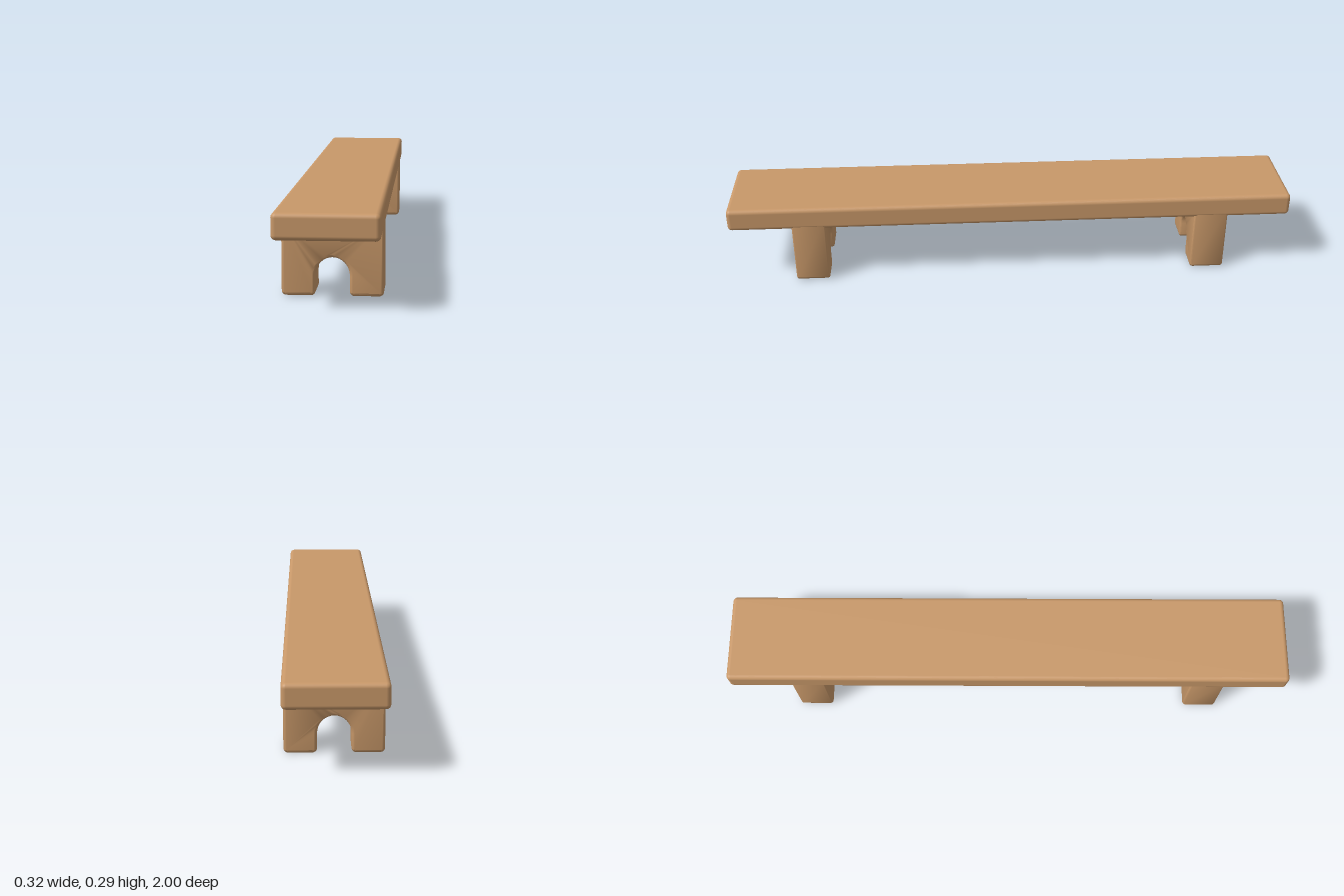
import * as THREE from 'three';
import { RoundedBoxGeometry } from 'three/addons/geometries/RoundedBoxGeometry.js';
import { toCreasedNormals } from 'three/addons/utils/BufferGeometryUtils.js';

const wood = new THREE.MeshStandardMaterial({ color: 0xc89869 });

// Arched leg panel with softly rounded edges, centred on z = 0
function legGeometry() {
  const w = 0.157, top = 0.232, depth = 0.12;
  const archW = 0.053, archY = 0.062, archH = 0.058;
  const r = 0.014, bevel = 0.01;

  const s = new THREE.Shape();
  s.moveTo(-w, top);
  s.lineTo(-w, r);
  s.absarc(-w + r, r, r, Math.PI, Math.PI * 1.5, false);
  s.absarc(-archW - r, r, r, Math.PI * 1.5, Math.PI * 2, false);
  s.lineTo(-archW, archY);
  s.absellipse(0, archY, archW, archH, Math.PI, 0, true);
  s.lineTo(archW, r);
  s.absarc(archW + r, r, r, Math.PI, Math.PI * 1.5, false);
  s.absarc(w - r, r, r, Math.PI * 1.5, Math.PI * 2, false);
  s.lineTo(w, top);
  s.closePath();

  const g = new THREE.ExtrudeGeometry(s, {
    depth: depth - 2 * bevel,
    curveSegments: 8,
    bevelEnabled: true,
    bevelThickness: bevel,
    bevelSize: bevel,
    bevelOffset: -bevel,
    bevelSegments: 4,
  });
  g.translate(0, 0, bevel - depth / 2);
  return toCreasedNormals(g, 0.7);
}

export function createModel() {
  const bench = new THREE.Group();
  bench.name = 'bench';

  // Long plank
  const seat = new THREE.Mesh(new RoundedBoxGeometry(0.316, 0.081, 2, 4, 0.015), wood);
  seat.name = 'seat';
  seat.position.y = 0.2545;
  bench.add(seat);

  // Matching legs near both ends
  const geometry = legGeometry();
  for (const [name, z] of [['frontLeg', 0.718], ['backLeg', -0.718]]) {
    const leg = new THREE.Mesh(geometry, wood);
    leg.name = name;
    leg.position.z = z;
    bench.add(leg);
  }
  return bench;
}
